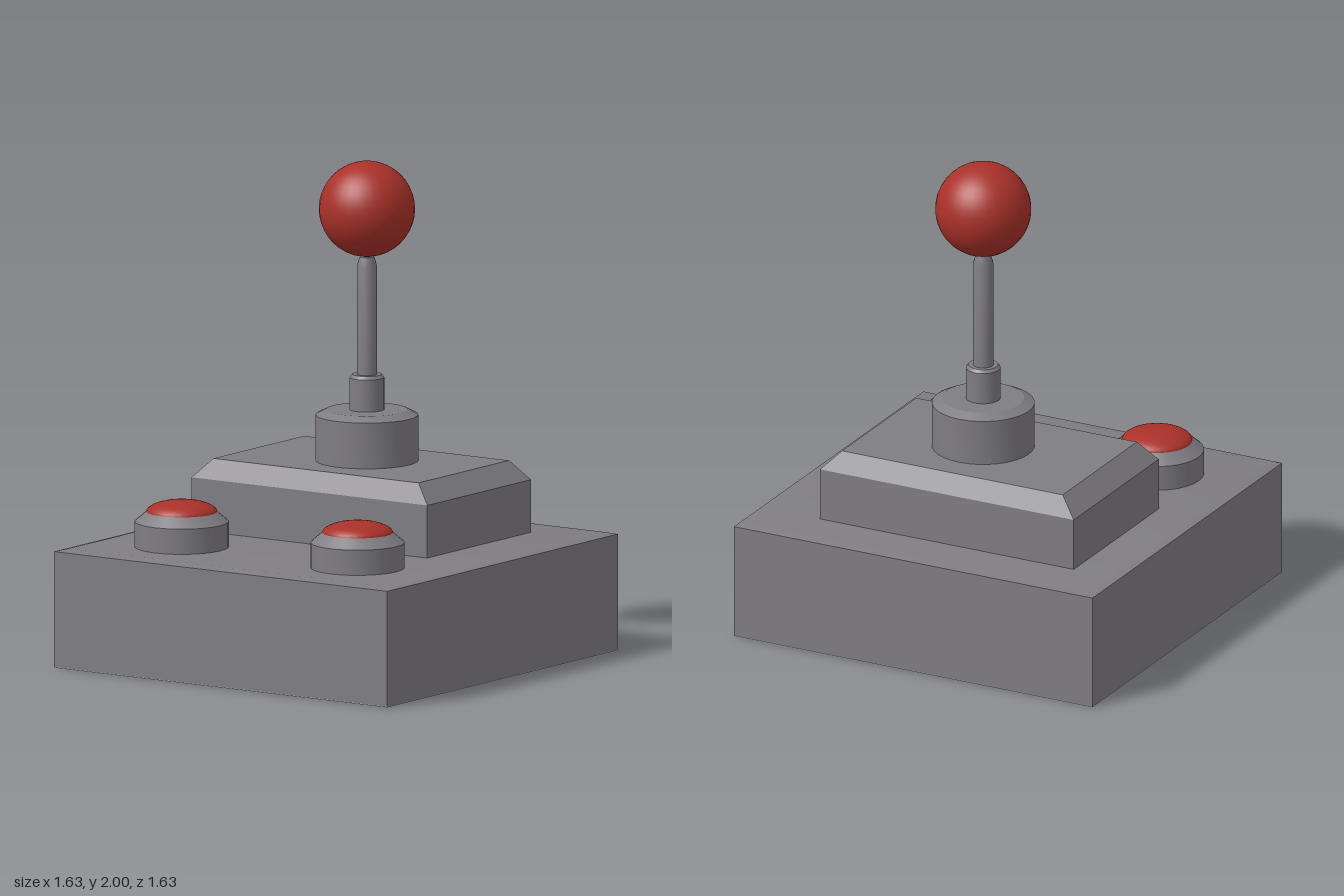
import * as THREE from 'three';
import { toCreasedNormals } from 'three/addons/utils/BufferGeometryUtils.js';

const grey = new THREE.MeshStandardMaterial({ color: 0x7f7d82 });
grey.name = 'greyPlastic';
const paleGrey = new THREE.MeshStandardMaterial({ color: 0xc3c3c3 });
paleGrey.name = 'paleGreyUnderside';
const red = new THREE.MeshStandardMaterial({ color: 0xa93129 });
red.name = 'redPlastic';

function part(name, geometry, material, x = 0, y = 0, z = 0) {
  const mesh = new THREE.Mesh(geometry, material);
  mesh.name = name;
  mesh.position.set(x, y, z);
  return mesh;
}

// Turned part from [radius, height] points, bottom to top, with sharp rims
function turned(profile, sides = 32) {
  const points = profile.map(([r, y]) => new THREE.Vector2(r, y));
  return toCreasedNormals(new THREE.LatheGeometry(points, sides), 0.45);
}

// Block through stacked rectangles [halfWidth, y, halfDepth], soft only at shallow bevels
function steppedBlock(levels) {
  const positions = [];
  const rings = levels.map(([w, y, d]) => [[-w, y, d], [w, y, d], [w, y, -d], [-w, y, -d]]);
  const quad = (a, b, c, d) => positions.push(...a, ...b, ...c, ...a, ...c, ...d);
  for (let i = 0; i < rings.length - 1; i++) {
    for (let k = 0; k < 4; k++) {
      const n = (k + 1) % 4;
      quad(rings[i][k], rings[i][n], rings[i + 1][n], rings[i + 1][k]);
    }
  }
  const top = rings[rings.length - 1];
  quad(top[0], top[1], top[2], top[3]);
  quad(rings[0][3], rings[0][2], rings[0][1], rings[0][0]);
  const geometry = new THREE.BufferGeometry();
  geometry.setAttribute('position', new THREE.Float32BufferAttribute(positions, 3));
  return toCreasedNormals(geometry, 0.45);
}

export function createModel() {
  const model = new THREE.Group();
  model.name = 'joystick';

  // Box base with a very shallow bevel on top, and a pale plate underneath
  model.add(
    part('base', steppedBlock([[0.817, 0.003, 0.817], [0.817, 0.475, 0.817], [0.775, 0.485, 0.775]]), grey),
    part('undersidePlate', new THREE.BoxGeometry(1.632, 0.004, 1.632), paleGrey, 0, 0.002, 0)
  );

  // Raised platform with sloping shoulders
  model.add(part('platform',
    steppedBlock([[0.578, 0.47, 0.367], [0.578, 0.7, 0.367], [0.503, 0.778, 0.32]]), grey, -0.04, 0, -0.236));

  // Stick assembly on one axis
  const stick = new THREE.Group();
  stick.name = 'stick';
  stick.position.set(-0.012, 0, -0.236);
  stick.add(
    part('socket', turned([[0, 0.77], [0.207, 0.77], [0.207, 0.965], [0.165, 0.986], [0, 0.986]]), grey),
    part('collar', turned([[0, 0.98], [0.07, 0.98], [0.07, 1.117], [0.06, 1.13], [0, 1.13]]), grey),
    part('shaft', turned([[0, 1.12], [0.041, 1.12], [0.041, 1.57], [0.03, 1.61], [0, 1.63]], 20), grey),
    part('ballGrip', new THREE.SphereGeometry(0.194, 32, 20), red, 0, 1.806, 0)
  );
  model.add(stick);

  // Low domed caps in bevelled rings, one on each side
  const dome = [];
  for (let i = 0; i <= 8; i++) {
    const a = (i / 8) * Math.PI / 2;
    dome.push([0.144 * Math.cos(a), 0.625 + 0.049 * Math.sin(a)]);
  }
  dome[8][0] = 0;
  const ring = [[0, 0.47], [0.19, 0.47], [0.19, 0.588], [0.143, 0.628], [0, 0.628]];
  for (const side of [-1, 1]) {
    const button = new THREE.Group();
    button.name = side > 0 ? 'leftButton' : 'rightButton';
    button.position.set(side * 0.431, 0, 0.469);
    button.add(part('buttonRing', turned(ring), grey), part('buttonCap', turned(dome), red));
    model.add(button);
  }
  return model;
}
